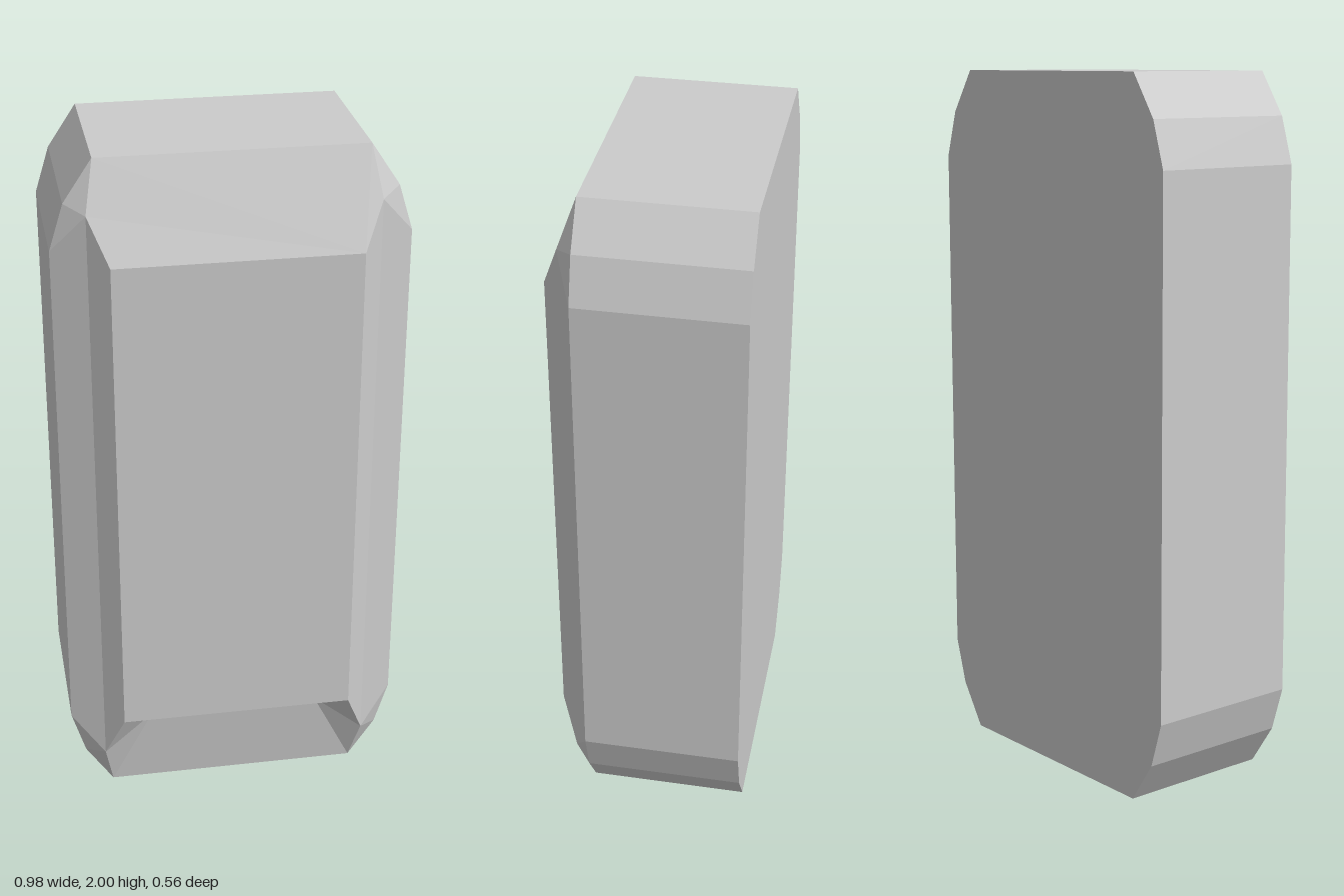
import * as THREE from 'three';

const material = new THREE.MeshStandardMaterial({ color: 0xcccccc, flatShading: true });

// Flat polygons (as triangle fans), each wound to face the front
function facets(name, polygons) {
  const positions = [];
  const normal = new THREE.Vector3();
  for (const polygon of polygons) {
    const p = polygon.map((c) => new THREE.Vector3(...c));
    for (let i = 1; i < p.length - 1; i++) {
      new THREE.Triangle(p[0], p[i], p[i + 1]).getNormal(normal);
      const tri = normal.z >= 0 ? [p[0], p[i], p[i + 1]] : [p[0], p[i + 1], p[i]];
      tri.forEach((v) => positions.push(v.x, v.y, v.z));
    }
  }
  const geometry = new THREE.BufferGeometry();
  geometry.setAttribute('position', new THREE.Float32BufferAttribute(positions, 3));
  geometry.computeVertexNormals();
  const mesh = new THREE.Mesh(geometry, material);
  mesh.name = name;
  return mesh;
}

const flip = ([x, y, z]) => [-x, y, z];
const bothSides = (polygons) => [...polygons, ...polygons.map((p) => p.map(flip))];
// Closes a half edge into a polygon symmetric about x = 0
const symmetric = (half) => [...half, ...half.map(flip).reverse()];

export function createModel() {
  const group = new THREE.Group();
  const back = -0.28, rim = 0.18, mid = 0.23, front = 0.28;

  // Body: tall slab with faceted corners
  const outline = [[0.37, 0], [0.45, 0.12], [0.49, 0.25], [0.49, 1.75], [0.45, 1.88], [0.37, 2]];
  const loop = [...outline, ...outline.map(([x, y]) => [-x, y]).reverse()];
  const shape = new THREE.Shape(loop.map(([x, y]) => new THREE.Vector2(x, y)));
  const bodyGeometry = new THREE.ExtrudeGeometry(shape, { depth: rim - back, bevelEnabled: false });
  bodyGeometry.translate(0, 0, back);
  const body = new THREE.Mesh(bodyGeometry, material);
  body.name = 'body';
  group.add(body);

  // Key corners on the +x half
  const rimPoints = outline.map(([x, y]) => [x, y, rim]);
  const lowMid = [0.395, 0.14, mid], highMid = [0.395, 1.86, mid];
  const lowPanel = [0.34, 0.28, front], highPanel = [0.34, 1.73, front];
  const notchTop = [0.25, 0.25, 0.21], notchFoot = [0.25, 0, rim];

  group.add(facets('frontPanel', [symmetric([lowPanel, highPanel])]));
  group.add(facets('topBevel', [symmetric([highPanel, highMid, rimPoints[5]])]));

  // Side bevels: inner slope, outer slope and corner facets
  group.add(facets('sideBevels', bothSides([
    [lowPanel, lowMid, highMid, highPanel],
    [lowMid, rimPoints[2], rimPoints[3], highMid],
    [lowMid, rimPoints[0], rimPoints[1]],
    [lowMid, rimPoints[1], rimPoints[2]],
    [highMid, rimPoints[3], rimPoints[4]],
    [highMid, rimPoints[4], rimPoints[5]],
  ])));

  // Recess under the panel: overhang, end cheeks and back wall
  group.add(facets('bottomRecess', [
    symmetric([lowPanel, notchTop]),
    symmetric([notchTop, notchFoot]),
    ...bothSides([
      [lowPanel, lowMid, notchTop],
      [notchTop, lowMid, rimPoints[0], notchFoot],
    ]),
  ]));

  return group;
}
